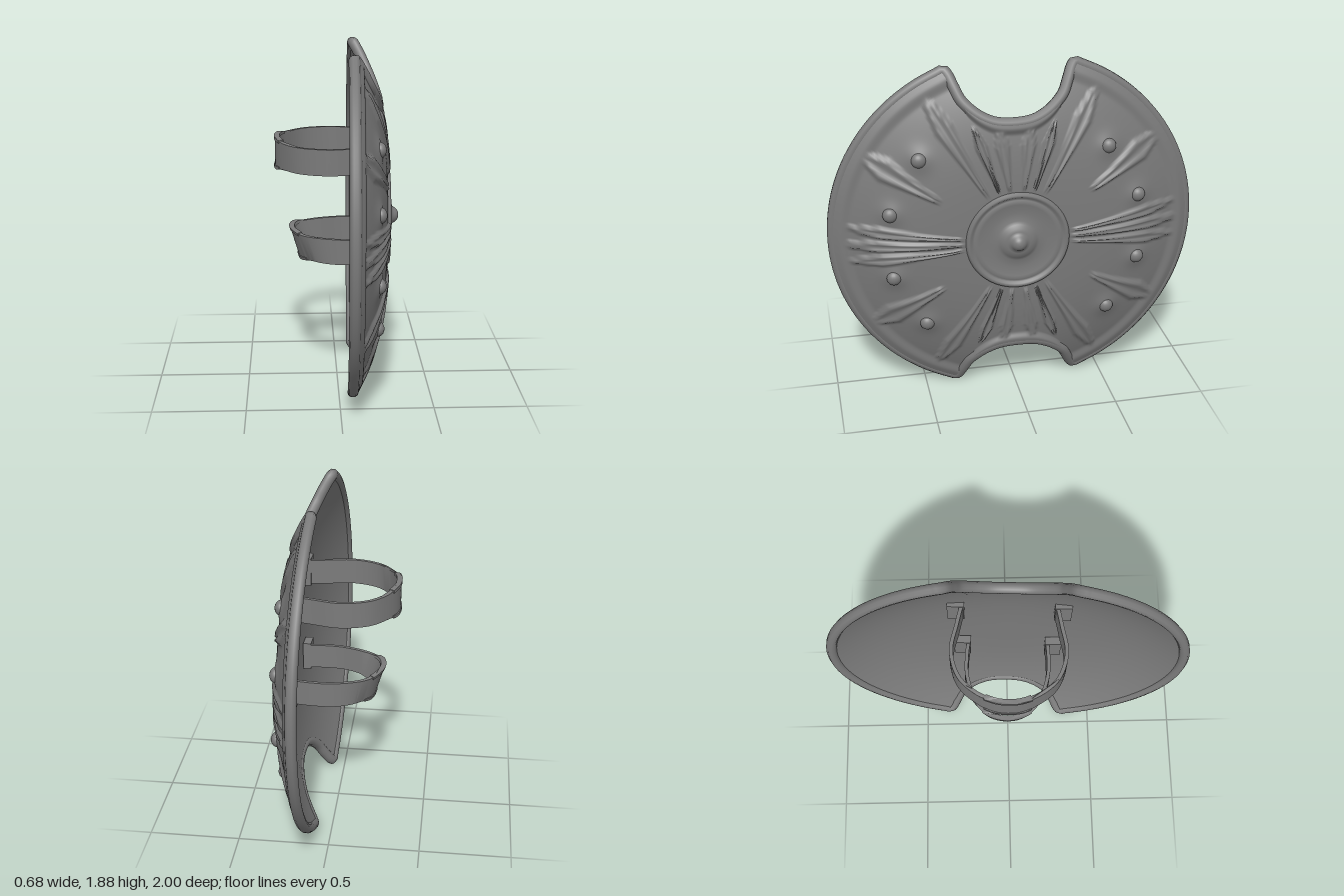
import * as THREE from 'three';
import { toCreasedNormals } from 'three/addons/utils/BufferGeometryUtils.js';

const material = new THREE.MeshStandardMaterial({ color: 0x7a7a7a });
const smooth = THREE.MathUtils.smoothstep;

// Depth of the dome (along x) at a distance r from its centre
const dome = (r) => 0.27 - 0.2 * r ** 3;

// Embossed leaves of one quadrant: angle, inner radius, outer radius, half width
const LEAVES = [
  [0, 0.27, 0.94, 0.04], [0.11, 0.28, 0.92, 0.04], [0.56, 0.46, 0.95, 0.075],
  [1.05, 0.29, 0.92, 0.055], [1.25, 0.29, 0.68, 0.035], [1.44, 0.28, 0.64, 0.04],
];
const STUDS = [[0.5, 0.478], [0.665, 0.185]];   // z, y

// Height of the embossing; s runs from 0 at the centre to 1 at the rim
function relief(z, y, s) {
  const r = Math.hypot(z, y), az = Math.abs(z), ay = Math.abs(y);
  let h = 0;
  for (const [a, r0, r1, w] of LEAVES) {
    const t = (az * Math.cos(a) + ay * Math.sin(a) - r0) / (r1 - r0);
    if (t <= 0 || t >= 1) continue;
    const d = Math.abs(ay * Math.cos(a) - az * Math.sin(a));
    const half = w * (t < 0.7 ? 0.25 + 0.75 * (t / 0.7) ** 1.5 : 1 - 0.75 * (t - 0.7) / 0.3);
    const e = 1 - d / half;
    const ends = smooth(t, 0, 0.12) * (1 - smooth(t, 0.9, 1));
    h = Math.max(h, 0.018 * ends * smooth(e, 0, 0.42) * (1 - 0.6 * smooth(e, 0.45, 0.95)));
  }
  for (const [sz, sy] of STUDS) h += 0.018 * Math.exp(-(((az - sz) ** 2 + (ay - sy) ** 2) / 0.004));
  h *= 1 - smooth(s, 0.9, 0.96);
  // Sunk under the boss, raised flush with the rim
  return h - 0.03 * (1 - smooth(r, 0.22, 0.26)) + 0.022 * smooth(s, 0.9, 0.97);
}

// Closed rim line: round sides with a notch at the top and the bottom
function rimCurve() {
  const quarter = [];
  for (let a = 0; a <= 67.5; a += 7.5) {
    const q = THREE.MathUtils.degToRad(a);
    quarter.push([0.97 * Math.cos(q), 0.97 * Math.sin(q)]);
  }
  quarter.push([0.342, 0.908], [0.326, 0.894], [0.298, 0.835], [0.268, 0.772], [0.23, 0.73], [0.175, 0.688], [0.1, 0.655]);
  const mirrored = quarter.slice(1).reverse().map(([z, y]) => [-z, y]);
  const half = [...quarter, [0, 0.645], ...mirrored];
  const all = [...half, ...half.map(([z, y]) => [-z, -y])];
  return new THREE.CatmullRomCurve3(
    all.map(([z, y]) => new THREE.Vector3(dome(Math.hypot(z, y)), y, z)), true);
}

// Plate spanned from the centre to the rim line
function plate(border, rings, offset, front) {
  const n = border.length, pos = [], index = [];
  for (let j = 0; j <= rings; j++) {
    const s = j / rings;
    for (const p of border) {
      const y = p.y * s, z = p.z * s;
      pos.push(dome(Math.hypot(y, z)) + offset + (front ? relief(z, y, s) : 0), y, z);
    }
  }
  for (let j = 0; j < rings; j++) {
    for (let i = 0; i < n; i++) {
      const k = (i + 1) % n;
      const a = j * n + i, b = a + n, c = (j + 1) * n + k, d = j * n + k;
      if (front) index.push(a, c, b, a, d, c);
      else index.push(a, b, c, a, c, d);
    }
  }
  const g = new THREE.BufferGeometry();
  g.setAttribute('position', new THREE.Float32BufferAttribute(pos, 3));
  g.setIndex(index);
  g.computeVertexNormals();
  return g;
}

// Band of even thickness along a path in the x-z plane, centred on height 0
function band(points, thickness, height) {
  const outer = [], inner = [];
  points.forEach((p, i) => {
    const t = points[Math.min(i + 1, points.length - 1)].clone().sub(points[Math.max(i - 1, 0)]).normalize();
    const o = new THREE.Vector2(-t.y, t.x).multiplyScalar(thickness / 2);
    outer.push(p.clone().add(o));
    inner.unshift(p.clone().sub(o));
  });
  const g = new THREE.ExtrudeGeometry(new THREE.Shape([...outer, ...inner]), { depth: height, bevelEnabled: false });
  g.translate(0, 0, -height / 2).rotateX(-Math.PI / 2);
  return g;
}

export function createModel() {
  const model = new THREE.Group();
  model.name = 'shield';
  const body = new THREE.Group();
  body.name = 'shieldBody';
  body.position.y = 0.955;
  body.rotation.set(0.018, -0.035, 0);
  model.add(body);
  const add = (name, geometry, x = 0, y = 0, z = 0) => {
    const mesh = new THREE.Mesh(geometry, material);
    mesh.name = name;
    mesh.position.set(x, y, z);
    body.add(mesh);
    return mesh;
  };

  // Embossed face, plain back and rounded rim
  const curve = rimCurve();
  const border = curve.getSpacedPoints(460).slice(0, 460);
  add('face', plate(border, 115, 0.006, true));
  add('back', plate(border, 12, -0.024, false));
  add('rim', new THREE.TubeGeometry(curve, 400, 0.03, 10, true));

  // Central boss: ring, dish and pointed knob
  const profile = [
    [0.285, 0.256], [0.276, 0.28], [0.266, 0.288], [0.254, 0.286], [0.246, 0.276], [0.235, 0.275],
    [0.225, 0.282], [0.21, 0.278], [0.16, 0.271], [0.115, 0.275], [0.098, 0.284], [0.08, 0.298],
    [0.062, 0.301], [0.048, 0.305], [0.04, 0.318], [0.028, 0.331], [0.014, 0.338], [0, 0.339],
  ].map(([r, h]) => new THREE.Vector2(r, h));
  add('boss', new THREE.LatheGeometry(profile, 64).rotateZ(-Math.PI / 2));

  // Round studs
  for (const [z, y] of STUDS) {
    for (const sz of [-1, 1]) {
      for (const sy of [-1, 1]) {
        add('stud', new THREE.SphereGeometry(0.04, 20, 14), dome(Math.hypot(z, y)) + 0.012, y * sy, z * sz)
          .scale.x = 0.8;
      }
    }
  }

  // Arm strap and hand strap: half path (x, z), height, grip lean
  const straps = [
    { name: 'armStrap', y: 0.365, lean: 0, path: [[0.22, 0.25], [0.1, 0.275], [-0.05, 0.3], [-0.2, 0.25], [-0.3, 0.12]], tip: -0.327 },
    { name: 'handStrap', y: -0.145, lean: -0.35, path: [[0.22, 0.22], [0.12, 0.23], [0, 0.225], [-0.12, 0.18], [-0.2, 0.1]], tip: -0.225 },
  ];
  for (const { name, y, lean, path, tip } of straps) {
    const ends = path.map(([x, z]) => new THREE.Vector2(x, z));
    const other = path.map(([x, z]) => new THREE.Vector2(x, -z)).reverse();
    const line = new THREE.SplineCurve([...ends, new THREE.Vector2(tip, 0), ...other]).getPoints(60);
    // Widens the band towards the grip and leans it outwards
    const shapeGrip = (g) => {
      const p = g.attributes.position;
      for (let i = 0; i < p.count; i++) {
        const x = p.getX(i);
        const k = 1 - smooth(x, -0.2, 0);
        p.setX(i, x + lean * p.getY(i) * k);
        p.setY(i, p.getY(i) * (1 + 0.18 * k * (1 - smooth(Math.abs(p.getZ(i)), 0.08, 0.17))));
      }
      return toCreasedNormals(g, 0.6);
    };
    add(name, shapeGrip(band(line, 0.02, 0.14)), 0, y);
    const grip = line.filter((p) => Math.abs(p.y) < 0.13 && p.x < 0);
    for (const s of [-1, 1]) {
      add(name + 'Lip', shapeGrip(band(grip, 0.03, 0.014).translate(0, s * 0.066, 0)), 0, y);
      // Foot turned outwards and fixed to the back of the shield
      add(name + 'Foot', new THREE.BoxGeometry(0.045, 0.16, 0.09), 0.215, y, s * (path[0][1] + 0.035));
    }
  }
  return model;
}
